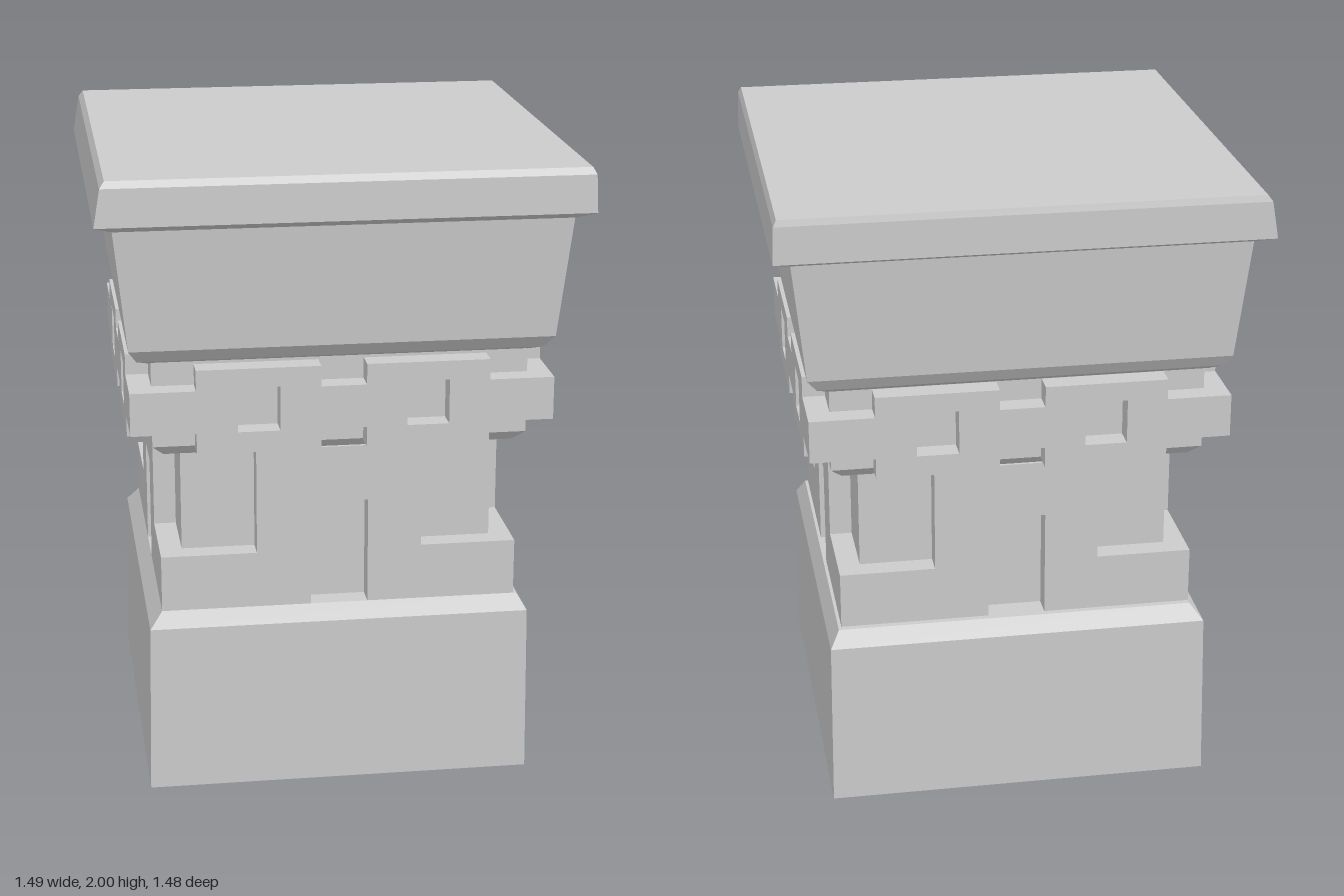
import * as THREE from 'three';

const material = new THREE.MeshStandardMaterial({ color: 0xcccccc, flatShading: true, side: THREE.DoubleSide });

function add(parent, name, geometry) {
  const mesh = new THREE.Mesh(geometry, material);
  mesh.name = name;
  parent.add(mesh);
  return mesh;
}

// Skins a stack of rectangles, each [y, xMin, xMax, zMin, zMax]
function stack(rings, closeBottom = true) {
  const pos = [], idx = [];
  for (const [y, x0, x1, z0, z1] of rings) pos.push(x0, y, z1, x1, y, z1, x1, y, z0, x0, y, z0);
  for (let r = 0; r < rings.length - 1; r++) {
    for (let i = 0; i < 4; i++) {
      const a = r * 4 + i, b = r * 4 + (i + 1) % 4;
      idx.push(a, b, b + 4, a, b + 4, a + 4);
    }
  }
  const t = (rings.length - 1) * 4;
  idx.push(t, t + 1, t + 2, t, t + 2, t + 3);
  if (closeBottom) idx.push(0, 2, 1, 0, 3, 2);
  const g = new THREE.BufferGeometry();
  g.setAttribute('position', new THREE.Float32BufferAttribute(pos, 3));
  g.setIndex(idx);
  g.computeVertexNormals();
  return g;
}

const square = (y, h) => [y, -h, h, -h, h];

// Mirrors a right-hand outline (bottom centre to top centre) into a full shape
function mirroredShape(half) {
  const left = half.map(([x, y]) => [-x, y]).reverse();
  return new THREE.Shape([...half, ...left].map(([x, y]) => new THREE.Vector2(x, y)));
}

// Repeats a relief panel on all four sides
function onFourSides(parent, name, shape, inner, outer) {
  const g = new THREE.ExtrudeGeometry(shape, { depth: outer - inner, bevelEnabled: false });
  g.translate(0, 0, inner);
  for (let i = 0; i < 4; i++) add(parent, name, g).rotation.y = i * Math.PI / 2;
}

export function createModel() {
  const model = new THREE.Group();
  model.name = 'stonePillar';

  // Base block, hollow and open underneath
  add(model, 'base', stack([
    [0, -0.61, 0.605, -0.62, 0.6],
    [0.54, -0.6, 0.6, -0.615, 0.59],
    [0.59, -0.56, 0.57, -0.58, 0.56],
  ], false));

  // Shaft: recessed corner piers behind a plinth with a raised bay and door slot per side
  const shaft = new THREE.Group();
  shaft.name = 'shaft';
  model.add(shaft);
  add(shaft, 'piers', stack([square(0.59, 0.49), square(1.12, 0.49)]));
  onFourSides(shaft, 'doorBay', mirroredShape([
    [0.09, 0.93], [0.09, 0.59], [0.56, 0.59], [0.56, 0.77], [0.26, 0.77], [0.26, 1.11],
  ]), 0.48, 0.56);

  // Notched band with windows
  const band = new THREE.Group();
  band.name = 'band';
  model.add(band);
  add(band, 'bandCore', stack([square(1.105, 0.545), square(1.14, 0.58), square(1.41, 0.58)]));
  const frieze = mirroredShape([
    [0.07, 1.2], [0.07, 1.135], [0.45, 1.135], [0.45, 1.2], [0.65, 1.2],
    [0.65, 1.335], [0.45, 1.335], [0.45, 1.4], [0.07, 1.4], [0.07, 1.335],
  ]);
  for (const x of [-0.26, 0.26]) {
    frieze.holes.push(new THREE.Path([[-1, 1.2], [-1, 1.34], [1, 1.34], [1, 1.2]]
      .map(([s, y]) => new THREE.Vector2(x + s * 0.065, y))));
  }
  onFourSides(band, 'frieze', frieze, 0.57, 0.65);

  // Flaring capital with an overhanging lip
  add(model, 'capital', stack([
    [1.405, -0.59, 0.58, -0.59, 0.57],
    [1.425, -0.625, 0.62, -0.625, 0.62],
    [1.465, -0.65, 0.65, -0.65, 0.65],
    [1.84, -0.69, 0.69, -0.68, 0.68],
    [1.865, -0.745, 0.745, -0.74, 0.735],
    [1.98, -0.725, 0.74, -0.74, 0.73],
    [2, -0.71, 0.73, -0.735, 0.715],
  ]));

  return model;
}
